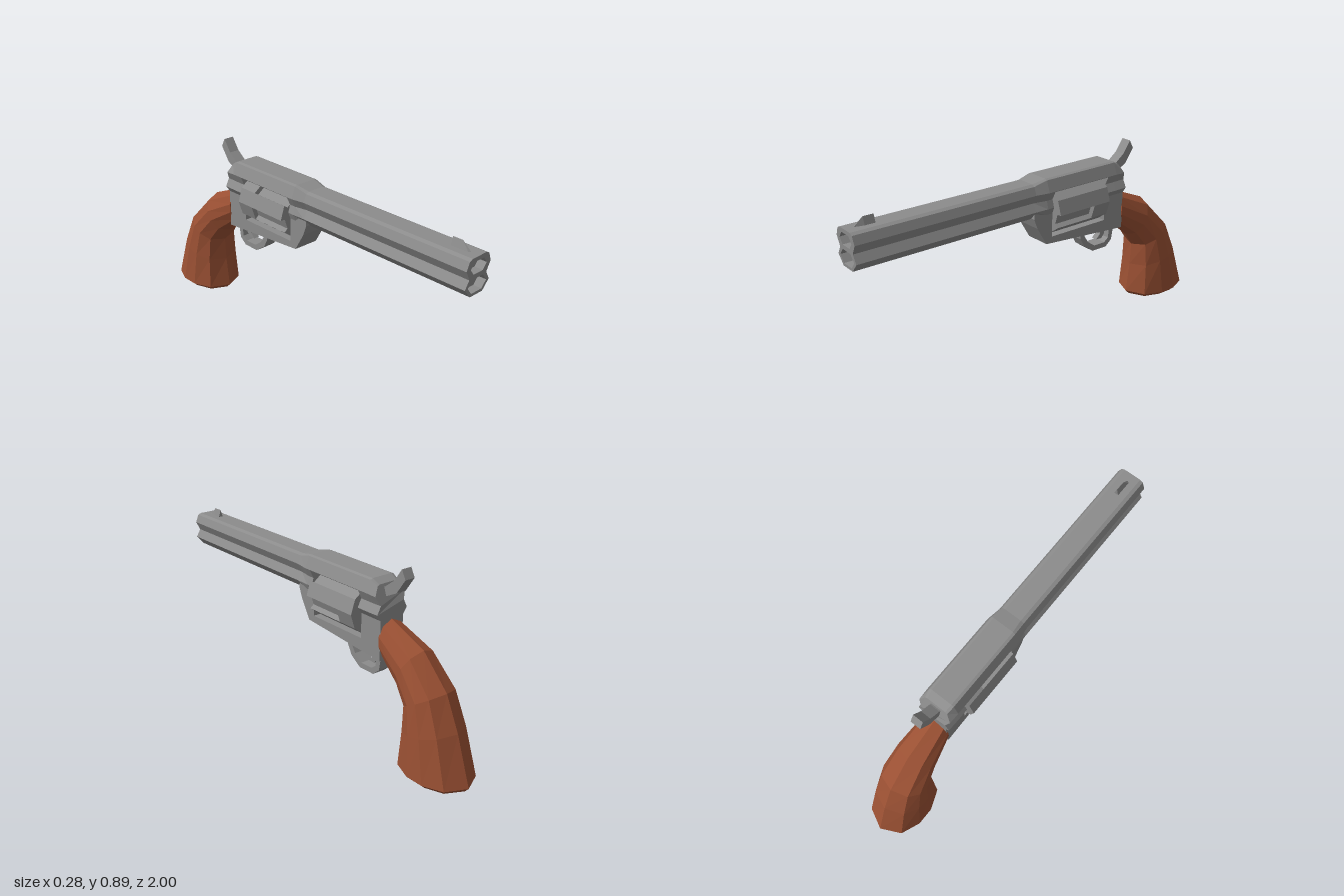
import * as THREE from 'three';

const metal = new THREE.MeshStandardMaterial({ color: 0x8c8c8c });
metal.name = 'steel grey';
const wood = new THREE.MeshStandardMaterial({ color: 0x9a5033 });
wood.name = 'walnut brown';

// Flat-shaded loft through sections ordered from front to back.
// Each section is a half outline [x, y, z], top to bottom, mirrored over x = 0.
function loft(sections) {
  const rings = sections.map((half) => [
    ...half.map(([x, y, z]) => new THREE.Vector3(-x, y, z)),
    ...half.filter((p) => p[0] > 0).reverse().map(([x, y, z]) => new THREE.Vector3(x, y, z)),
  ]);
  const pos = [];
  const tri = (...pts) => pts.forEach((p) => pos.push(p.x, p.y, p.z));
  for (let s = 0; s < rings.length - 1; s++) {
    const f = rings[s], b = rings[s + 1];
    for (let i = 0; i < f.length; i++) {
      const j = (i + 1) % f.length;
      tri(f[i], b[i], f[j]);
      tri(b[i], b[j], f[j]);
    }
  }
  const cap = (ring, flip) => {
    const flat = ring.map((p) => new THREE.Vector2(p.x, p.y - 0.5 * p.z));
    for (const [a, b, c] of THREE.ShapeUtils.triangulateShape(flat, [])) {
      if (flip) tri(ring[a], ring[c], ring[b]);
      else tri(ring[a], ring[b], ring[c]);
    }
  };
  cap(rings[0], false);
  cap(rings[rings.length - 1], true);
  const g = new THREE.BufferGeometry();
  g.setAttribute('position', new THREE.Float32BufferAttribute(pos, 3));
  g.computeVertexNormals();
  return g;
}

// Side outline in [z, y], extruded evenly across x
function sideExtrude(points, halfWidth) {
  const shape = new THREE.Shape(points.map(([z, y]) => new THREE.Vector2(-z, y)));
  return new THREE.ExtrudeGeometry(shape, { depth: 2 * halfWidth, bevelEnabled: false })
    .translate(0, 0, -halfWidth)
    .rotateY(Math.PI / 2);
}

const at = (profile, z) => profile.map(([x, y]) => [x, y, z]);

export function createModel() {
  const model = new THREE.Group();
  const add = (name, geometry, material = metal) => {
    const mesh = new THREE.Mesh(geometry, material);
    mesh.name = name;
    model.add(mesh);
  };

  // Two-lobed half profiles
  const barrel = [[0.045, 0.805], [0.062, 0.797], [0.078, 0.758], [0.055, 0.714], [0.078, 0.675], [0.04, 0.632]];
  const frame = [[0.055, 0.82], [0.068, 0.815], [0.09, 0.758], [0.068, 0.714], [0.08, 0.675], [0.066, 0.64]];

  // Barrel, flaring into the front of the frame
  add('barrel', loft([at(barrel, 0.96), at(barrel, 0.07), at(frame, 0), at(frame, -0.035)]));

  // Muzzle with two six-sided bores
  const muzzle = new THREE.Shape([
    ...barrel.map(([x, y]) => new THREE.Vector2(-x, y)),
    ...[...barrel].reverse().map(([x, y]) => new THREE.Vector2(x, y)),
  ]);
  for (const [cy, rx, tx, ry] of [[0.758, 0.052, 0.03, 0.028], [0.677, 0.06, 0.034, 0.032]]) {
    muzzle.holes.push(new THREE.Path(
      [[rx, 0], [tx, -ry], [-tx, -ry], [-rx, 0], [-tx, ry], [tx, ry]].map(([x, y]) => new THREE.Vector2(x, cy + y))
    ));
  }
  add('muzzle', new THREE.ExtrudeGeometry(muzzle, { depth: 0.04, bevelEnabled: false }).translate(0, 0, 0.96));

  // Front sight wedge
  const sight = (z, y) => [[0, y, z], [0.013, 0.8, z]];
  add('frontSight', loft([sight(0.957, 0.806), sight(0.915, 0.842), sight(0.865, 0.842)]));

  // Frame: strap above the cylinder, rear shield, lower cradle
  const strap = [[0.055, 0.82], [0.068, 0.815], [0.09, 0.758], [0.088, 0.755]];
  add('topStrap', loft([at(strap, -0.035), at(strap, -0.375)]));
  const shield = [[0.055, 0.82], [0.068, 0.815], [0.09, 0.758], [0.07, 0.714], [0.09, 0.675], [0.066, 0.643]];
  const shieldEnd = [
    [0.05, 0.8, -0.468], [0.062, 0.795, -0.47], [0.088, 0.755, -0.485],
    [0.068, 0.714, -0.5], [0.088, 0.675, -0.5], [0.066, 0.643, -0.5],
  ];
  add('rearShield', loft([at(shield, -0.375), at(shield, -0.43), shieldEnd]));
  add('lowerFrame', sideExtrude([
    [0.075, 0.637], [0.055, 0.585], [0, 0.492], [-0.5, 0.453], [-0.5, 0.66], [-0.375, 0.66],
    [-0.375, 0.523], [-0.035, 0.523], [-0.035, 0.68], [0.07, 0.68],
  ], 0.067));

  // Ten-sided cylinder with a flute on every other face
  const R = 0.118, r = 0.093, axis = 0.641;
  const polar = (deg, rad, z) => {
    const a = THREE.MathUtils.degToRad(deg);
    return [rad * Math.cos(a), axis + rad * Math.sin(a), z];
  };
  const plain = (z) => [72, 36, 0, -36, -72].map((d) => polar(d, R, z));
  const fluted = (z) => [
    [72, R], [71, r], [37, r], [36, R], [0, R], [-1, r], [-35, r], [-36, R], [-72, R], [-73, r],
  ].map(([d, rad]) => polar(d, rad, z));
  add('cylinderFluted', loft([fluted(-0.046), fluted(-0.262)]));
  add('cylinderRear', loft([plain(-0.262), plain(-0.363)]));

  // Hammer
  add('hammer', sideExtrude([
    [-0.44, 0.77], [-0.48, 0.79], [-0.535, 0.832], [-0.577, 0.893],
    [-0.6, 0.85], [-0.55, 0.778], [-0.49, 0.748], [-0.45, 0.74],
  ], 0.027));

  // Trigger guard loop and trigger
  add('triggerGuard', sideExtrude([
    [-0.248, 0.48], [-0.25, 0.44], [-0.275, 0.395], [-0.335, 0.353], [-0.425, 0.353], [-0.463, 0.385], [-0.475, 0.46],
    [-0.447, 0.46], [-0.44, 0.4], [-0.415, 0.38], [-0.345, 0.38], [-0.3, 0.412], [-0.276, 0.45], [-0.272, 0.48],
  ], 0.034));
  add('trigger', sideExtrude([
    [-0.395, 0.47], [-0.4, 0.425], [-0.375, 0.4], [-0.41, 0.398], [-0.428, 0.42], [-0.43, 0.47],
  ], 0.016));

  // Grip: ten-sided rings between a back line and a front line
  const gripRing = ([bz, by, fz, fy, w]) =>
    [[0, 0], [0.13, 0.72], [0.38, 1], [0.62, 1], [0.88, 0.72], [1, 0]].map(([t, k]) => [
      k * w, THREE.MathUtils.lerp(by, fy, t), THREE.MathUtils.lerp(bz, fz, t),
    ]);
  add('grip', loft([
    [-0.495, 0.642, -0.495, 0.455, 0.072],
    [-0.7, 0.557, -0.6, 0.368, 0.097],
    [-0.845, 0.41, -0.65, 0.297, 0.113],
    [-0.92, 0.25, -0.645, 0.18, 0.126],
    [-1, 0.022, -0.625, 0.022, 0.139],
    [-0.98, 0, -0.647, 0, 0.115],
  ].map(gripRing)), wood);

  return model;
}
